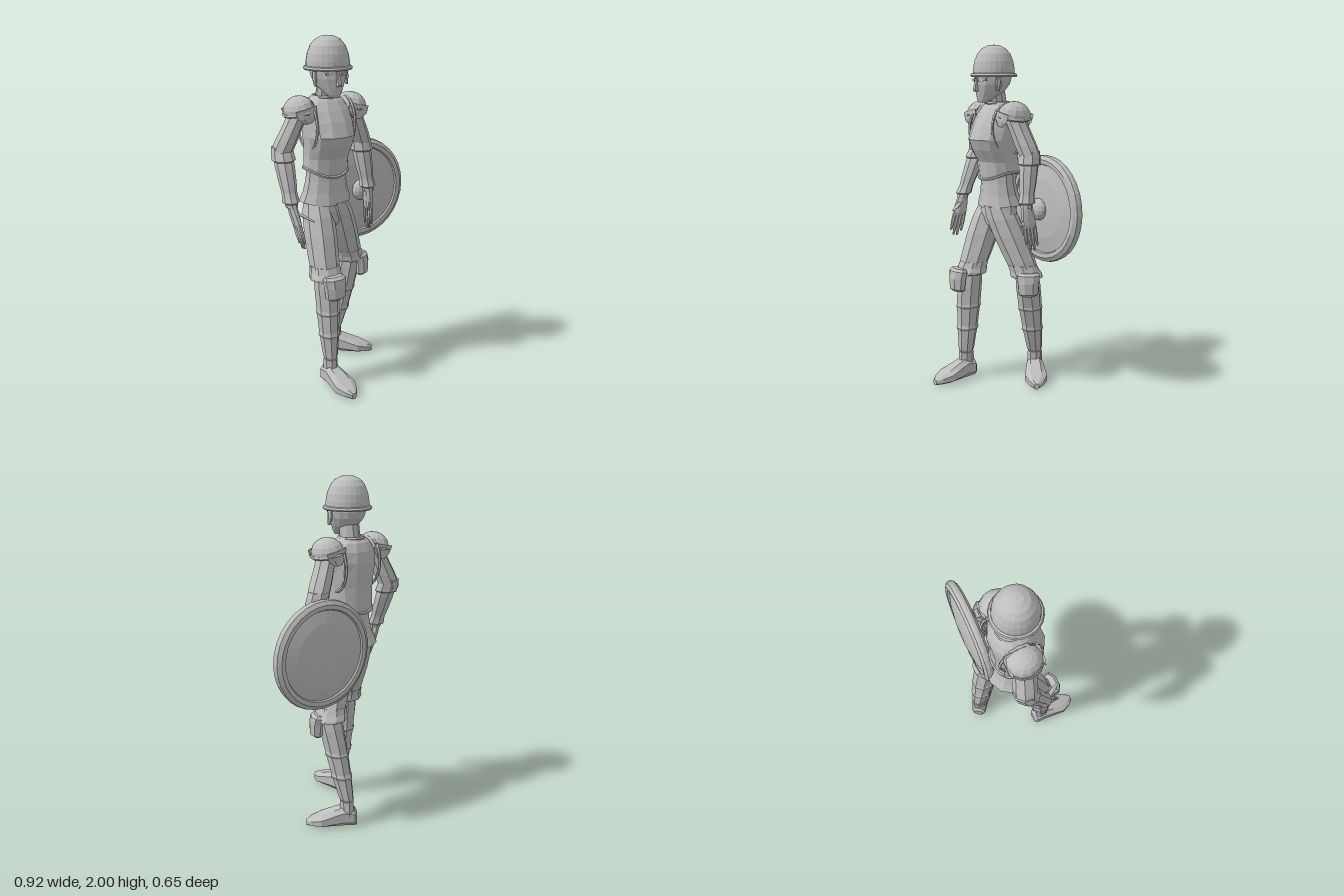
import * as THREE from 'three';

const steel = new THREE.MeshStandardMaterial({ color: 0xbebebe, flatShading: true, side: THREE.DoubleSide });
steel.name = 'plain grey';

const CX = -0.142; // middle of the body
const lerp = (a, b, t) => a.map((v, i) => v + (b[i] - v) * t);

function add(parent, name, geometry, pos = [0, 0, 0], rot = [0, 0, 0], scale = [1, 1, 1]) {
  const m = new THREE.Mesh(geometry, steel);
  m.name = name;
  m.position.set(...pos);
  m.rotation.set(...rot);
  m.scale.set(...scale);
  parent.add(m);
  return m;
}

// Skin over oval rings [x, y, z, rx, rz]; power < 1 squares the oval, drop(angle, row) lowers points
function loft(rings, sides = 8, power = 1, drop = null) {
  const rows = rings[0][1] > rings[rings.length - 1][1] ? [...rings].reverse() : rings;
  const pos = [], idx = [];
  const pw = v => Math.sign(v) * Math.pow(Math.abs(v), power);
  rows.forEach(([x, y, z, rx, rz], k) => {
    for (let i = 0; i < sides; i++) {
      const a = (i + 0.5) / sides * Math.PI * 2;
      pos.push(x + pw(Math.sin(a)) * rx, y - (drop ? drop(a, k) : 0), z + pw(Math.cos(a)) * rz);
    }
  });
  const n = rows.length, bottom = n * sides, top = bottom + 1;
  pos.push(...rows[0].slice(0, 3), ...rows[n - 1].slice(0, 3));
  for (let i = 0; i < sides; i++) {
    const j = (i + 1) % sides;
    for (let k = 0; k < n - 1; k++) {
      const a = k * sides + i, b = k * sides + j, c = b + sides, d = a + sides;
      idx.push(a, b, c, a, c, d);
    }
    idx.push(bottom, j, i, top, (n - 1) * sides + i, (n - 1) * sides + j);
  }
  const g = new THREE.BufferGeometry();
  g.setAttribute('position', new THREE.Float32BufferAttribute(pos, 3));
  g.setIndex(idx);
  g.computeVertexNormals();
  return g;
}

// Limb between two points; steps are [t, rx, rz]
const limb = (a, b, steps, sides = 8) => loft(steps.map(([t, rx, rz]) => [...lerp(a, b, t), rx, rz ?? rx]), sides);

function lathe(pts, seg) {
  return new THREE.LatheGeometry(pts.map(p => new THREE.Vector2(...p)), seg);
}

function buildHead(g) {
  add(g, 'neck', loft([[CX, 1.58, -0.085, 0.075, 0.075], [CX, 1.65, -0.08, 0.056, 0.056], [CX, 1.74, -0.06, 0.056, 0.06]], 10));
  add(g, 'head', loft([
    [CX, 1.672, 0.03, 0.024, 0.022], [CX, 1.69, 0.012, 0.042, 0.046], [CX, 1.73, -0.022, 0.07, 0.087],
    [CX, 1.775, -0.038, 0.092, 0.108], [CX, 1.81, -0.045, 0.1, 0.112], [CX, 1.86, -0.045, 0.1, 0.112]], 14));
  add(g, 'nose', loft([[CX, 1.735, 0.068, 0.013, 0.02], [CX, 1.745, 0.07, 0.016, 0.025], [CX, 1.82, 0.06, 0.008, 0.014]], 4));
  for (const s of [-1, 1]) {
    add(g, 'brow', new THREE.BoxGeometry(0.05, 0.014, 0.02), [CX + s * 0.04, 1.8, 0.052], [0, s * 0.4, s * 0.12]);
    add(g, 'ear', loft([[0, -0.045, 0.01, 0.007, 0.009], [0, 0, 0, 0.012, 0.02], [0, 0.04, 0, 0.009, 0.018]], 6), [CX + s * 0.098, 1.78, -0.02]);
  }
  add(g, 'helmet', lathe([[0.095, 1.82], [0.131, 1.818], [0.137, 1.826], [0.131, 1.836], [0.121, 1.84], [0.12, 1.865],
    [0.113, 1.905], [0.096, 1.948], [0.07, 1.978], [0.036, 1.995], [0, 2.0]], 24), [-0.14, 0, -0.05]);
}

function buildTorso(g) {
  add(g, 'pelvis', loft([[CX, 1.15, -0.085, 0.115, 0.09], [CX, 1.02, -0.08, 0.135, 0.1], [CX, 0.96, -0.08, 0.115, 0.09], [CX, 0.91, -0.08, 0.05, 0.06]], 10));
  // Tunic flares over the hips and dips at front and back
  add(g, 'tunicSkirt', loft([[CX, 1.3, -0.08, 0.115, 0.09], [CX, 1.2, -0.083, 0.122, 0.094], [CX, 1.13, -0.09, 0.136, 0.106],
    [CX, 1.075, -0.1, 0.157, 0.128]], 12, 1, (a, k) => k === 0 ? 0.018 * Math.cos(a) ** 2 : 0));
  const dip = a => 0.045 * Math.cos(a) ** 2 * (Math.cos(a) > 0 ? 1 : 0.4);
  add(g, 'breastplate', loft([[CX, 1.27, -0.083, 0.131, 0.106], [CX, 1.33, -0.077, 0.129, 0.112], [CX, 1.4, -0.057, 0.137, 0.133],
    [CX, 1.46, -0.048, 0.145, 0.147], [CX, 1.54, -0.067, 0.148, 0.133], [CX, 1.6, -0.08, 0.138, 0.113],
    [CX, 1.645, -0.085, 0.11, 0.088], [CX, 1.67, -0.085, 0.076, 0.066]], 12, 0.9, (a, k) => k === 0 ? dip(a) : 0));
  const hem = [];
  for (let i = 0; i < 24; i++) {
    const a = i / 24 * Math.PI * 2;
    hem.push(new THREE.Vector3(CX + Math.sin(a) * 0.133, 1.27 - dip(a), -0.083 + Math.cos(a) * 0.107));
  }
  add(g, 'breastplateHem', new THREE.TubeGeometry(new THREE.CatmullRomCurve3(hem, true), 36, 0.009, 5, true));
  add(g, 'collar', new THREE.TorusGeometry(0.07, 0.009, 5, 16), [CX, 1.668, -0.085], [Math.PI / 2, 0, 0]);
  for (const s of [-1, 1]) {
    add(g, 'armholeTrim', new THREE.TorusGeometry(1, 0.065, 5, 20), [CX + s * 0.118, 1.52, -0.075],
      [0, Math.PI / 2, s * 0.18], [0.118, 0.145, 0.13]);
  }
}

function buildPauldron(g, s) {
  const p = new THREE.Group();
  p.name = s > 0 ? 'leftPauldron' : 'rightPauldron';
  add(p, 'shoulderCap', new THREE.SphereGeometry(1, 12, 5, 0, Math.PI * 2, 0, Math.PI * 0.52), [0, 0, 0], [0, 0, 0], [0.088, 0.082, 0.098]);
  add(p, 'capRim', new THREE.TorusGeometry(1, 0.09, 5, 12), [0, -0.005, 0], [Math.PI / 2, 0, 0], [0.09, 0.098, 0.1]);
  // Hanging corner plates, front and back
  for (const f of [-1, 1]) {
    add(p, 'capFlap', loft([[0, 0.02, 0, 0.065, 0.012], [0, -0.025, 0.004, 0.058, 0.012], [0, -0.06, 0, 0.025, 0.01]], 6), [0, 0, f * 0.088], [0, 0, 0]);
  }
  p.position.set(CX + s * 0.162, 1.6, -0.08);
  p.rotation.z = -s * 0.22;
  g.add(p);
}

function buildArm(g, side, shoulder, elbow, wrist, tip, thumb) {
  const arm = new THREE.Group();
  arm.name = side + 'Arm';
  add(arm, 'upperArm', limb(shoulder, elbow, [[-0.05, 0.055, 0.065], [0.35, 0.056, 0.064], [0.75, 0.063, 0.066], [1, 0.062, 0.063], [1.12, 0.05]]));
  add(arm, 'elbowCuff', limb(elbow, wrist, [[-0.08, 0.058], [0.02, 0.063], [0.17, 0.067], [0.2, 0.055]]));
  add(arm, 'forearm', limb(elbow, wrist, [[0, 0.056], [0.3, 0.055], [0.6, 0.049], [0.92, 0.038], [1.05, 0.034]]));
  add(arm, 'gauntletCuff', limb(elbow, wrist, [[0.72, 0.042], [0.86, 0.045], [0.95, 0.049], [0.98, 0.038]]));
  // Hand
  add(arm, 'palm', limb(wrist, tip, [[-0.05, 0.025, 0.03], [0.2, 0.025, 0.042], [0.42, 0.022, 0.047], [0.5, 0.016, 0.042]]));
  for (let i = 0; i < 4; i++) {
    const off = (i - 1.5) * 0.023, len = [0.9, 1, 0.98, 0.85][i];
    const a = lerp(wrist, tip, 0.44), b = lerp(wrist, tip, len);
    a[2] += off;
    b[2] += off * 1.1;
    add(arm, 'finger', limb(a, b, [[0, 0.012], [0.55, 0.011], [1, 0.006]], 6));
  }
  add(arm, 'thumb', limb(lerp(wrist, tip, 0.15), thumb, [[0, 0.017], [0.6, 0.014], [1, 0.007]], 6));
  g.add(arm);
}

function buildLeg(g, side, hip, knee, ankle, yaw, footYaw, padOut) {
  const leg = new THREE.Group();
  leg.name = side + 'Leg';
  add(leg, 'thigh', limb(hip, knee, [[-0.2, 0.075, 0.085], [0, 0.088, 0.1], [0.3, 0.092, 0.102], [0.7, 0.088, 0.092], [1, 0.08, 0.08]]));
  add(leg, 'thighCuff', limb(hip, knee, [[0.78, 0.087, 0.089], [0.88, 0.09, 0.091], [0.95, 0.099, 0.098], [0.985, 0.097, 0.096], [1.0, 0.08, 0.08]], 10));
  add(leg, 'shin', limb(knee, ankle, [[-0.05, 0.07], [0.1, 0.071, 0.076], [0.25, 0.067, 0.076], [0.4, 0.064, 0.074], [0.7, 0.056, 0.062], [0.97, 0.041, 0.049], [1, 0.035, 0.04]]));
  // Overlapping greave edges
  for (const [t, r] of [[0.41, 0.07], [0.69, 0.062]]) {
    add(leg, 'greaveEdge', limb(knee, ankle, [[t - 0.05, r - 0.006, r + 0.002], [t, r, r + 0.008], [t + 0.025, r - 0.006, r + 0.002]]));
  }
  add(leg, 'kneePad', loft([[0, -0.1, 0, 0.035, 0.025], [0, -0.085, 0.005, 0.06, 0.04], [0, -0.02, 0.008, 0.066, 0.046],
    [0, 0.025, 0.004, 0.073, 0.045], [0, 0.04, 0, 0.06, 0.03]], 8),
    [knee[0] + Math.sin(yaw) * padOut, knee[1], knee[2] + Math.cos(yaw) * padOut], [-0.08, yaw, 0]).rotation.order = 'YXZ';
  add(leg, 'ankle', loft([[...ankle, 0.04, 0.046], [ankle[0], 0.07, ankle[2], 0.04, 0.052]], 8));
  // Shoe sections: distance forward, height, half width
  const shoe = [[-0.06, 0.085, 0.03], [-0.045, 0.11, 0.046], [0.02, 0.125, 0.052], [0.075, 0.105, 0.06],
    [0.15, 0.075, 0.07], [0.205, 0.052, 0.045], [0.238, 0.035, 0.015]];
  add(leg, 'shoe', loft(shoe.map(([f, h, w]) => [0, f, -h / 2, w, h / 2]), 8, 0.75),
    [ankle[0], 0, ankle[2]], [Math.PI / 2, footYaw, 0]).rotation.order = 'YXZ';
  g.add(leg);
}

function buildShield(g) {
  const s = new THREE.Group();
  s.name = 'shield';
  add(s, 'shieldDisc', lathe([[0, -0.054], [0.1, -0.05], [0.19, -0.038], [0.255, -0.02], [0.26, -0.03], [0.285, -0.032], [0.307, -0.018],
    [0.311, 0], [0.307, 0.018], [0.285, 0.032], [0.26, 0.03], [0.255, 0.018], [0.17, 0.034], [0, 0.044]], 32), [0, 0, 0], [Math.PI / 2, 0, 0]);
  add(s, 'boss', new THREE.SphereGeometry(1, 14, 8), [-0.003, 0, 0.045], [0, 0, 0], [0.064, 0.064, 0.045]);
  s.position.set(0.149, 1.07, -0.207);
  g.add(s);
}

export function createModel() {
  const g = new THREE.Group();
  g.name = 'footSoldier';
  buildHead(g);
  buildTorso(g);
  buildPauldron(g, 1);
  buildPauldron(g, -1);
  buildArm(g, 'left', [0.02, 1.6, -0.08], [0.112, 1.38, -0.122], [0.14, 1.1, -0.08], [0.165, 0.835, -0.11], [0.132, 0.97, -0.055]);
  buildArm(g, 'right', [-0.305, 1.6, -0.08], [-0.398, 1.38, -0.115], [-0.405, 1.1, 0.0], [-0.375, 0.86, 0.08], [-0.33, 1.02, 0.12]);
  buildLeg(g, 'left', [-0.078, 1.0, -0.07], [0.055, 0.65, -0.155], [0.004, 0.16, -0.255], 1.0, 0.97, 0.065);
  buildLeg(g, 'right', [-0.208, 1.0, -0.06], [-0.228, 0.65, 0.065], [-0.225, 0.16, 0.1], 0.05, 0.08, 0.085);
  buildShield(g);
  return g;
}
